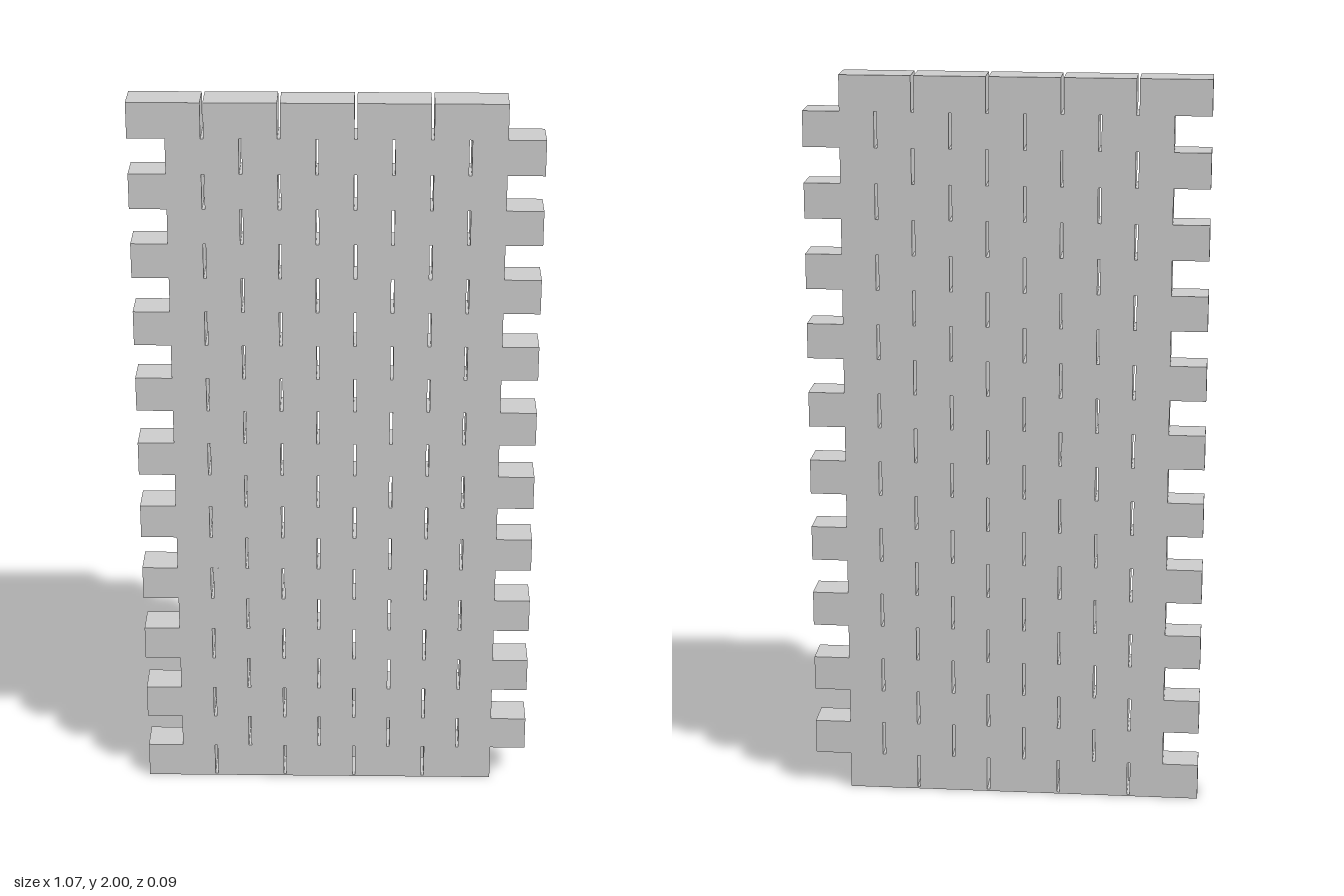
import * as THREE from 'three';

const ROWS = 21, BRICKS = 5;
const HALF = 0.533;      // half of the overall width
const DEPTH = 0.094;
const SHIFT = 0.097;     // sideways offset of alternate courses
const BASE = 0.005;      // thin sheet under the lowest course
const GAP = 0.0075;      // open joint between bricks
const ROW_H = (2 - BASE) / ROWS;
const LENGTH = 2 * HALF - SHIFT;
const BRICK = (LENGTH - (BRICKS - 1) * GAP) / BRICKS;

const rowY = (r) => BASE + r * ROW_H;
const rowLeft = (r) => -HALF + (r % 2 ? SHIFT : 0);
const jointX = (r, j) => rowLeft(r) + j * (BRICK + GAP) - GAP;

// Toothed outline, with the top course's joints open upwards
function wallOutline() {
  const pts = [];
  for (let r = 0; r < ROWS; r++) {
    const x = rowLeft(r) + LENGTH;
    pts.push([x, r ? rowY(r) : 0], [x, rowY(r + 1)]);
  }
  const top = ROWS - 1;
  for (let j = BRICKS - 1; j > 0; j--) {
    const x = jointX(top, j);
    pts.push([x + GAP, 2], [x + GAP, rowY(top)], [x, rowY(top)], [x, 2]);
  }
  for (let r = top; r >= 0; r--) {
    const x = rowLeft(r);
    pts.push([x, rowY(r + 1)], [x, r ? rowY(r) : 0]);
  }
  return new THREE.Shape(pts.map(([x, y]) => new THREE.Vector2(x, y)));
}

export function createModel() {
  const group = new THREE.Group();
  group.name = 'brickWallPanel';
  const shape = wallOutline();

  // Vertical joints cut right through every lower course
  for (let r = 0; r < ROWS - 1; r++) {
    for (let j = 1; j < BRICKS; j++) {
      const x = jointX(r, j), y0 = rowY(r), y1 = rowY(r + 1);
      shape.holes.push(new THREE.Path([
        new THREE.Vector2(x, y0), new THREE.Vector2(x, y1),
        new THREE.Vector2(x + GAP, y1), new THREE.Vector2(x + GAP, y0),
      ]));
    }
  }

  const geometry = new THREE.ExtrudeGeometry(shape, { depth: DEPTH, bevelEnabled: false });
  geometry.translate(0, 0, -DEPTH / 2);
  const wall = new THREE.Mesh(geometry, new THREE.MeshStandardMaterial({ color: 0xcccccc, flatShading: true }));
  wall.name = 'brickCourses';
  group.add(wall);
  return group;
}
